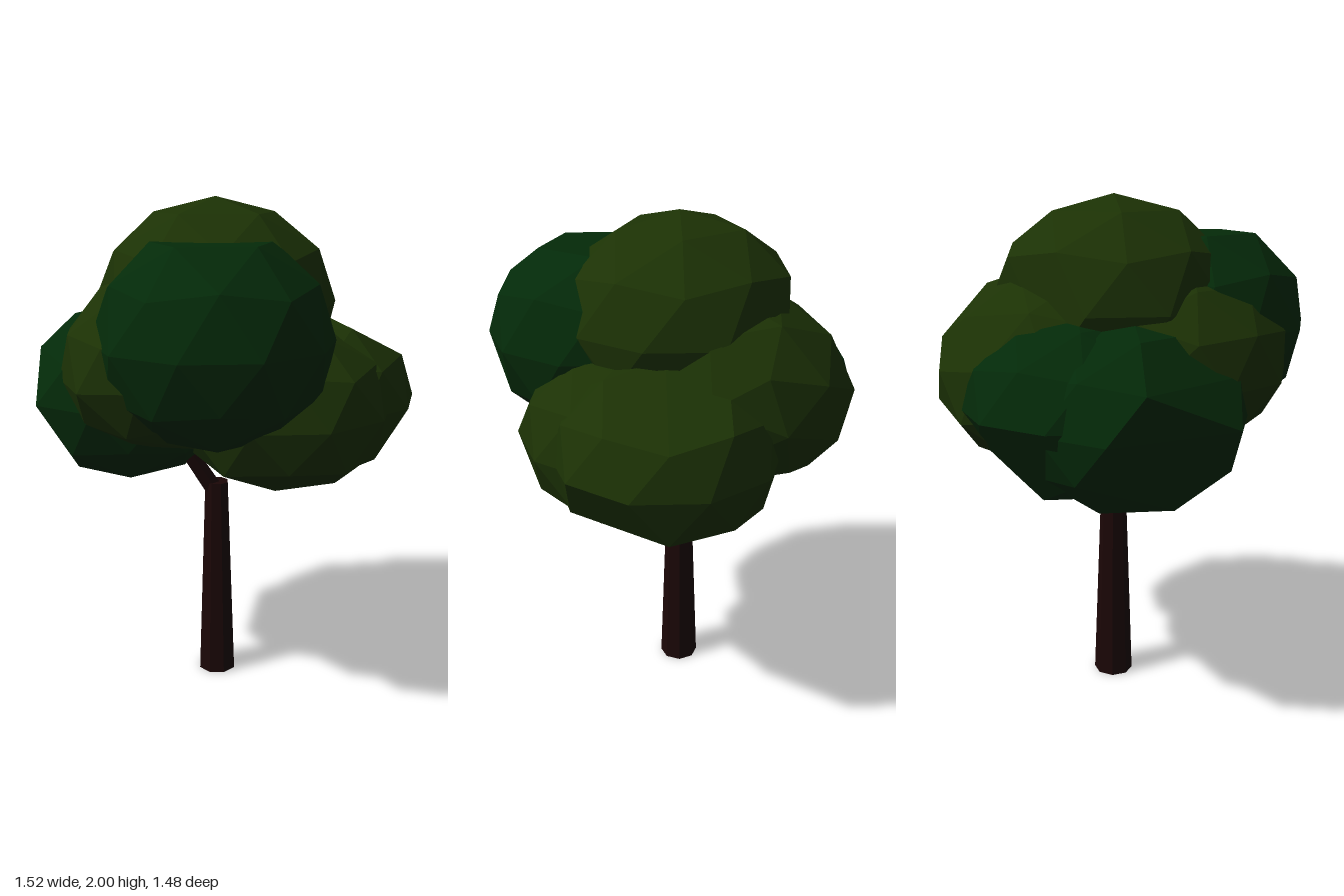
import * as THREE from 'three';
import { ConvexGeometry } from 'three/addons/geometries/ConvexGeometry.js';

const flat = (name, color) => Object.assign(new THREE.MeshStandardMaterial({ color, flatShading: true }), { name });

// Corners of a faceted ball with one corner at the top
function ballCorners() {
  const ball = new THREE.IcosahedronGeometry(1, 1);
  ball.rotateX(-Math.atan((1 + Math.sqrt(5)) / 2));
  ball.rotateY(Math.PI / 2);
  const p = ball.attributes.position;
  return Array.from({ length: p.count }, (_, i) => new THREE.Vector3().fromBufferAttribute(p, i));
}

// Point on the unit ball from its height and its angle from +x towards +z
function onBall([y, degrees]) {
  const r = Math.sqrt(1 - y * y), a = THREE.MathUtils.degToRad(degrees);
  return new THREE.Vector3(r * Math.cos(a), y, r * Math.sin(a));
}

export function createModel() {
  const olive = flat('oliveLeaf', 0x1c3205);
  const green = flat('darkGreenLeaf', 0x042a09);
  const bark = flat('bark', 0x1b0606);
  const tree = new THREE.Group();
  tree.name = 'tree';
  const corners = ballCorners();

  // name, material, centre, radius, half height, tilt about x and z, corners cut away
  const clumps = [
    ['topClump', olive, [-0.04, 1.6, -0.02], 0.475, 0.4, 0, 0, [[0, 270]]],
    ['frontClump', green, [-0.17, 1.5, 0.29], 0.45, 0.41, 0, 0, [[1, 0], [-1, 0]]],
    ['frontLowerClump', olive, [0.15, 1.2, 0.15], 0.46, 0.36, 0, 0, [[-0.447, 180], [-0.85, 180], [-0.85, 108]]],
    ['leftClump', olive, [0.345, 1.2, 0.045], 0.437, 0.36, 0, 0, [[0.85, 0], [-0.85, 36], [-0.85, -36], [-0.447, 36]]],
    ['backClump', olive, [0.07, 1.375, -0.245], 0.465, 0.365, -0.4, 0, []],
    ['rightClump', olive, [-0.25, 1.42, 0.1], 0.45, 0.35, 0, 0.2, []],
    ['rightBackClump', green, [-0.345, 1.23, -0.21], 0.435, 0.36, 0, 0,
      [[-0.447, 180], [0.526, 180], [0, 198], [-0.526, 216]]],
    ['backLowerClump', green, [-0.15, 1.25, -0.305], 0.435, 0.36, 0, 0, [[-0.447, 252], [-0.526, 288]]],
  ];
  for (const [name, material, centre, r, h, tiltX, tiltZ, cuts] of clumps) {
    const gone = cuts.map(onBall);
    const kept = corners.filter(c => gone.every(g => g.distanceTo(c) > 0.1));
    const clump = new THREE.Mesh(new ConvexGeometry(kept), material);
    clump.name = name;
    clump.position.set(...centre);
    clump.scale.set(r, h, r);
    clump.rotation.set(tiltX, 0, tiltZ);
    tree.add(clump);
  }

  // Tapered limb between two points
  const limb = (name, from, to, r0, r1, sides) => {
    const a = new THREE.Vector3(...from), b = new THREE.Vector3(...to);
    const dir = b.clone().sub(a);
    const mesh = new THREE.Mesh(new THREE.CylinderGeometry(r1, r0, dir.length(), sides), bark);
    mesh.name = name;
    mesh.position.copy(a).add(b).multiplyScalar(0.5);
    mesh.quaternion.setFromUnitVectors(new THREE.Vector3(0, 1, 0), dir.normalize());
    tree.add(mesh);
  };
  limb('trunk', [-0.04, 0, -0.02], [-0.04, 0.855, -0.02], 0.08, 0.05, 8);
  limb('branch', [-0.05, 0.82, -0.025], [-0.24, 1.13, -0.06], 0.038, 0.03, 6);

  return tree;
}
